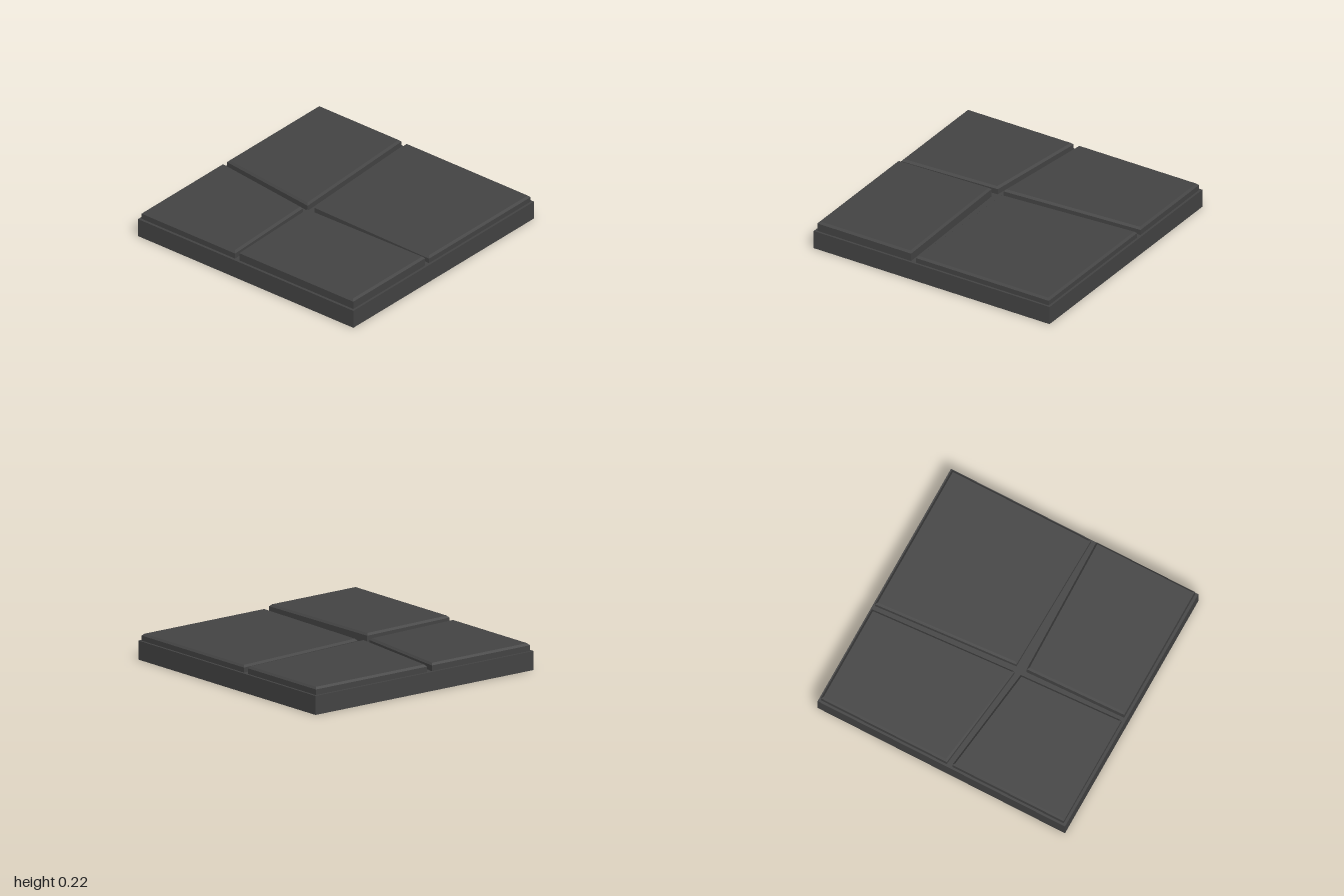
import * as THREE from 'three';

const BASE_TOP = 0.14;
const BEVEL = 0.015;
const SUNK = 0.03; // depth each stone is set into the base

// Footprint corners as [x, z], with the height of each stone's top
const STONES = [
  { name: 'frontLeftViewedStone', top: 0.215, corners: [[-0.98, -0.075], [-0.205, -0.1], [-0.185, 0.983], [-0.98, 0.983]] },
  { name: 'backLeftViewedStone', top: 0.197, corners: [[-0.98, -0.983], [-0.08, -0.983], [-0.185, -0.152], [-0.98, -0.115]] },
  { name: 'backRightViewedStone', top: 0.196, corners: [[-0.035, -0.983], [0.983, -0.983], [0.983, -0.217], [-0.135, -0.15]] },
  { name: 'frontRightViewedStone', top: 0.192, corners: [[-0.12, -0.097], [0.983, -0.172], [0.983, 0.983], [-0.142, 0.983]] },
];

// Flat slab with chamfered edges; its lower chamfer is hidden in the base
function stoneGeometry(corners, top) {
  const shape = new THREE.Shape(corners.map(([x, z]) => new THREE.Vector2(x, -z)));
  const bottom = BASE_TOP - SUNK;
  const geometry = new THREE.ExtrudeGeometry(shape, {
    depth: top - bottom - 2 * BEVEL,
    bevelEnabled: true,
    bevelThickness: BEVEL,
    bevelSize: BEVEL,
    bevelOffset: -BEVEL,
    bevelSegments: 1,
  });
  geometry.rotateX(-Math.PI / 2);
  geometry.translate(0, bottom + BEVEL, 0);
  return geometry;
}

export function createModel() {
  const model = new THREE.Group();
  model.name = 'pavingTile';
  const stone = new THREE.MeshStandardMaterial({ color: 0x444444 });
  stone.name = 'dark stone';

  // Square base slab
  const base = new THREE.Mesh(new THREE.BoxGeometry(2, BASE_TOP, 2), stone);
  base.name = 'baseSlab';
  base.position.y = BASE_TOP / 2;
  model.add(base);

  // Four uneven paving stones
  for (const { name, top, corners } of STONES) {
    const mesh = new THREE.Mesh(stoneGeometry(corners, top), stone);
    mesh.name = name.replace('Viewed', '').replace(/Left|Right/, (s) => (s === 'Left' ? 'Right' : 'Left'));
    model.add(mesh);
  }
  return model;
}
